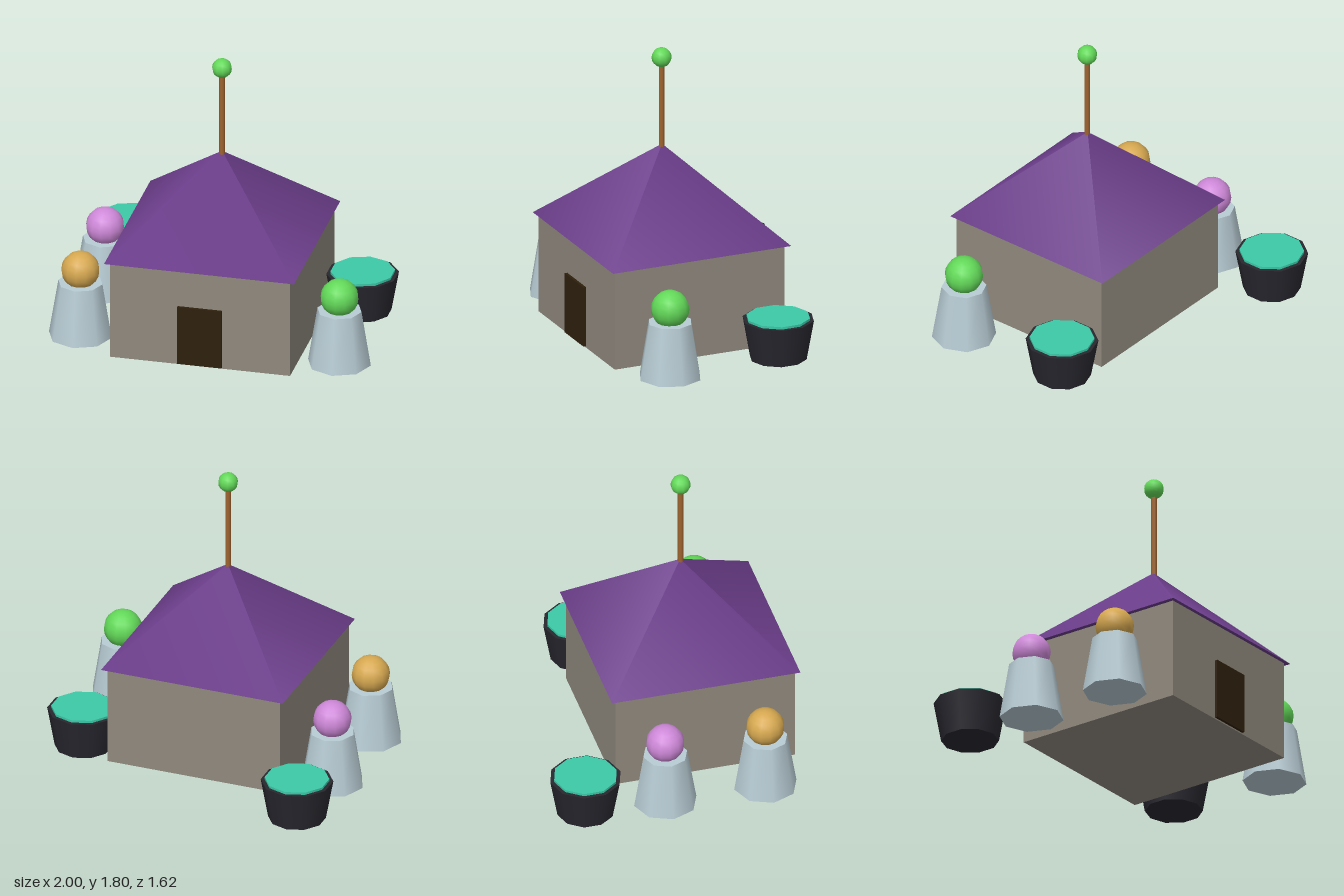
import * as THREE from 'three';

const paint = (name, color) => {
  const m = new THREE.MeshStandardMaterial({ color });
  m.name = name;
  return m;
};

export function createModel() {
  const model = new THREE.Group();
  model.name = 'hut';

  const stone = paint('stone', 0x8f887d);
  const purple = paint('roof purple', 0x6b3d8a);
  const darkWood = paint('dark wood', 0x2e200c);
  const wood = paint('pole wood', 0xa0642f);
  const green = paint('green', 0x62d858);
  const gold = paint('gold', 0xd6a850);
  const pink = paint('pink', 0xce88d8);
  const paleGrey = paint('pale blue grey', 0xb8ccd4);
  const black = paint('cauldron black', 0x28272f);
  const teal = paint('teal liquid', 0x3cc9a7);

  const add = (parent, name, geometry, material, x, y, z) => {
    const mesh = new THREE.Mesh(geometry, material);
    mesh.name = name;
    mesh.position.set(x, y, z);
    parent.add(mesh);
    return mesh;
  };

  // House, centred a little forward of the origin
  const houseZ = 0.22;
  add(model, 'walls', new THREE.BoxGeometry(1.12, 0.63, 1.125), stone, 0, 0.315, houseZ);
  add(model, 'door', new THREE.BoxGeometry(0.275, 0.38, 0.03), darkWood, 0, 0.199, 0.785);
  const roof = new THREE.ConeGeometry(0.59 * Math.SQRT2, 0.55, 4);
  roof.rotateY(Math.PI / 4);
  add(model, 'roof', roof, purple, 0, 0.905, houseZ - 0.003);

  // Pole with a ball finial
  add(model, 'pole', new THREE.CylinderGeometry(0.018, 0.018, 0.56, 8), wood, 0, 1.42, houseZ);
  add(model, 'finial', new THREE.SphereGeometry(0.061, 10, 10), green, 0, 1.737, houseZ);

  // Tapered pedestals carrying coloured orbs
  const pedestal = new THREE.CylinderGeometry(0.137, 0.195, 0.352, 8);
  const orb = new THREE.SphereGeometry(0.117, 12, 10);
  for (const [x, z, colour] of [[-0.805, -0.1, pink], [-0.805, 0.527, gold], [0.805, 0.527, green]]) {
    const group = new THREE.Group();
    group.name = 'orbPedestal';
    group.position.set(x, 0, z);
    add(group, 'pedestal', pedestal, paleGrey, 0, 0.176, 0);
    add(group, 'orb', orb, colour, 0, 0.435, 0);
    model.add(group);
  }

  // Cauldrons filled with liquid
  const tub = new THREE.CylinderGeometry(0.22, 0.175, 0.25, 10);
  const liquid = new THREE.CylinderGeometry(0.196, 0.196, 0.03, 10);
  for (const [x, z] of [[-0.77, -0.59], [0.77, -0.205]]) {
    const group = new THREE.Group();
    group.name = 'cauldron';
    group.position.set(x, 0, z);
    add(group, 'tub', tub, black, 0, 0.125, 0);
    add(group, 'liquid', liquid, teal, 0, 0.25, 0);
    model.add(group);
  }

  return model;
}
